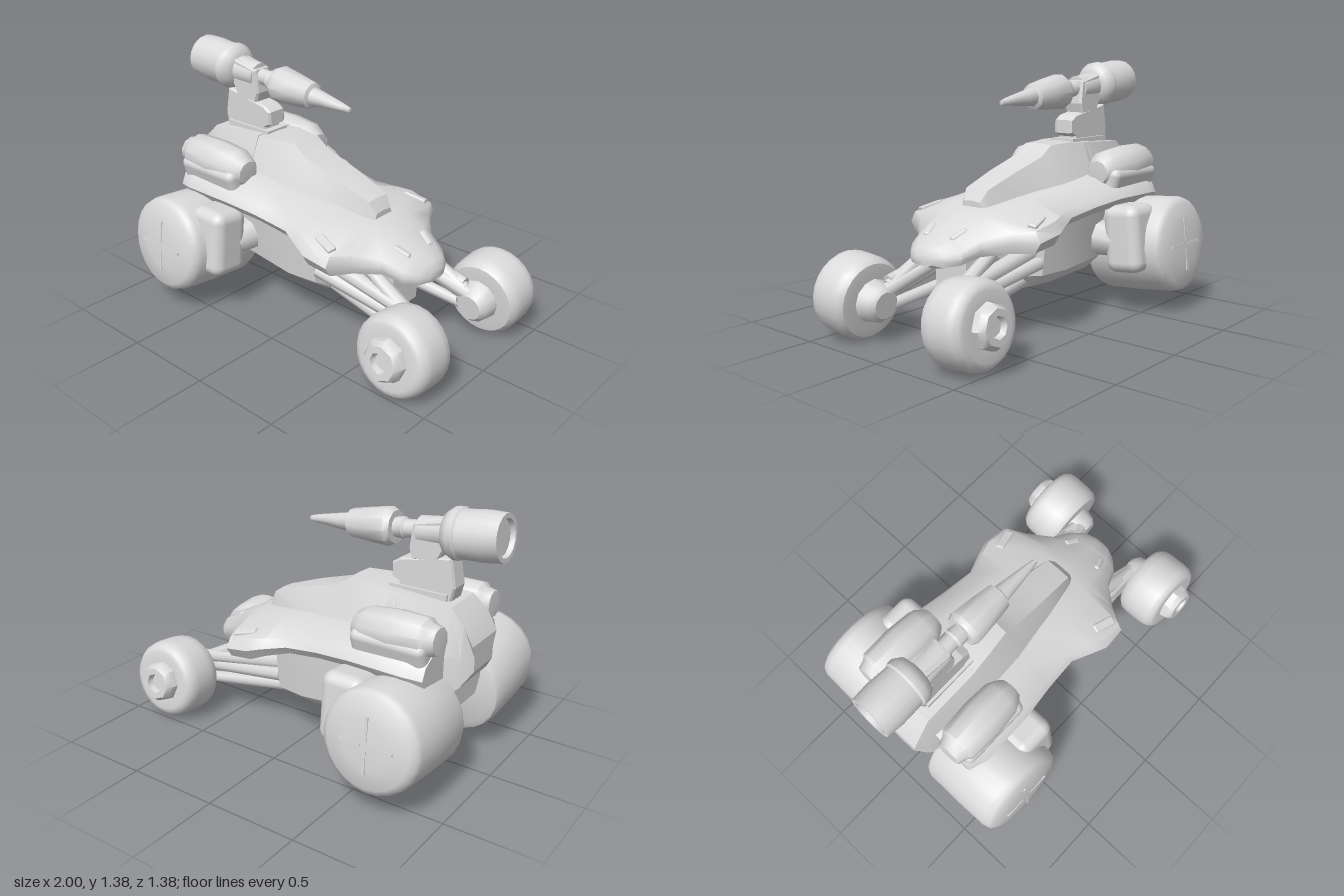
import * as THREE from 'three';
import { toCreasedNormals } from 'three/addons/utils/BufferGeometryUtils.js';
import { RoundedBoxGeometry } from 'three/addons/geometries/RoundedBoxGeometry.js';

const grey = new THREE.MeshStandardMaterial({ color: 0xdadada });
grey.name = 'plain grey';

function add(parent, name, geometry, x = 0, y = 0, z = 0) {
  const mesh = new THREE.Mesh(geometry, grey);
  mesh.name = name;
  mesh.position.set(x, y, z);
  parent.add(mesh);
  return mesh;
}

// Closed solid through cross-sections along x; each is [x, [z, y], ...],
// a half outline running from bottom centre to top centre.
function loft(sections, crease = 0.6) {
  const pos = [], index = [];
  const rings = sections.map(([x, ...half]) => {
    const mirrored = half.slice(1, -1).reverse().map(([z, y]) => [-z, y]);
    return [...half, ...mirrored].map(([z, y]) => [x, y, z]);
  });
  const n = rings[0].length;
  rings.forEach(r => r.forEach(p => pos.push(...p)));
  for (let i = 0; i < rings.length - 1; i++) {
    for (let j = 0; j < n; j++) {
      const a = i * n + j, b = i * n + (j + 1) % n;
      index.push(a, a + n, b, b, a + n, b + n);
    }
  }
  [0, rings.length - 1].forEach((r, end) => {
    const c = pos.length / 3, ring = rings[r];
    pos.push(ring[0][0], ring.reduce((s, p) => s + p[1], 0) / n, 0);
    for (let j = 0; j < n; j++) {
      const a = r * n + j, b = r * n + (j + 1) % n;
      if (end) index.push(c, b, a); else index.push(c, a, b);
    }
  });
  const g = new THREE.BufferGeometry();
  g.setAttribute('position', new THREE.Float32BufferAttribute(pos, 3));
  g.setIndex(index);
  return toCreasedNormals(g, crease);
}

// Turned part about y from [radius, height] pairs.
function turn(profile, sides = 24) {
  const pts = profile.map(([r, h]) => new THREE.Vector2(r, h));
  return toCreasedNormals(new THREE.LatheGeometry(pts, sides), 0.75);
}
const turnX = (profile, sides) => turn(profile, sides).rotateZ(-Math.PI / 2);

// Straight rod between two points.
function rod(parent, name, a, b, r1, r2, sides = 8) {
  const p = new THREE.Vector3(...a), q = new THREE.Vector3(...b);
  const d = q.clone().sub(p);
  const mesh = add(parent, name, new THREE.CylinderGeometry(r2, r1, d.length(), sides));
  mesh.position.copy(p).add(q).multiplyScalar(0.5);
  mesh.quaternion.setFromUnitVectors(new THREE.Vector3(0, 1, 0), d.normalize());
}

// Plate cut from an x-y outline, centred on z = 0.
function plate(parent, name, outline) {
  const shape = new THREE.Shape(outline.map(p => new THREE.Vector2(...p)));
  add(parent, name, new THREE.ExtrudeGeometry(shape, {
    depth: 0.09, bevelThickness: 0.015, bevelSize: 0.008, bevelSegments: 1 }), 0, 0, -0.045);
}

// Leaning wheel group whose local +y points outward.
function wheelGroup(parent, name, s, x, y, z) {
  const g = new THREE.Group();
  g.name = name;
  g.position.set(x, y, s * z);
  g.rotation.x = s * (Math.PI / 2 - 0.1);
  parent.add(g);
  return g;
}

export function createModel() {
  const model = new THREE.Group();
  model.name = 'armedBuggy';

  // Upper shell: x, half width, keel bottom, rim bottom, rim top, shoulder z, shoulder y
  const shell = [
    [-0.80, 0.39, 0.52, 0.57, 0.69, 0.24, 0.76],
    [-0.70, 0.425, 0.52, 0.59, 0.70, 0.26, 0.77],
    [-0.40, 0.42, 0.50, 0.60, 0.69, 0.26, 0.755],
    [-0.20, 0.395, 0.48, 0.58, 0.665, 0.24, 0.725],
    [0.00, 0.38, 0.46, 0.55, 0.635, 0.22, 0.705],
    [0.12, 0.43, 0.45, 0.52, 0.62, 0.20, 0.69],
    [0.20, 0.46, 0.44, 0.49, 0.61, 0.18, 0.675],
    [0.34, 0.45, 0.43, 0.47, 0.58, 0.16, 0.65],
    [0.40, 0.34, 0.42, 0.465, 0.565, 0.15, 0.63],
    [0.50, 0.22, 0.41, 0.45, 0.53, 0.14, 0.58],
    [0.60, 0.18, 0.40, 0.42, 0.485, 0.11, 0.525],
    [0.66, 0.12, 0.40, 0.41, 0.465, 0.08, 0.495],
    [0.69, 0.06, 0.41, 0.42, 0.45, 0.04, 0.46],
  ];
  add(model, 'upperShell', loft(shell.map(([x, w, yc, yb, yt, sz, sy]) => [x, [0, yc],
    [Math.min(0.11, w * 0.5), yc], [w * 0.5, yb - 0.01], [w * 0.92, yb], [w, (yb + yt) / 2], [w * 0.93, yt], [sz, sy], [0, sy + 0.005]]), 0.8));

  // Canopy: x, base half width, base y, roof half width, roof y
  const canopy = [
    [-0.50, 0.21, 0.70, 0.12, 0.92],
    [-0.36, 0.21, 0.70, 0.11, 0.935],
    [-0.20, 0.20, 0.67, 0.09, 0.93],
    [-0.12, 0.19, 0.65, 0.09, 0.875],
    [0.10, 0.15, 0.63, 0.085, 0.81],
    [0.30, 0.10, 0.60, 0.075, 0.74],
    [0.34, 0.08, 0.58, 0.055, 0.68],
  ];
  add(model, 'canopy', loft(canopy.map(([x, w, yb, t, yt]) =>
    [x, [0, yb], [w, yb], [w * 0.9, yb + 0.06], [t, yt], [0, yt + 0.005]]), 0.5));

  // Engine housing behind the cabin
  const engine = [
    [-0.92, 0.10, 0.60, 0.13, 0.74],
    [-0.87, 0.15, 0.52, 0.13, 0.83],
    [-0.79, 0.19, 0.45, 0.12, 0.91],
    [-0.45, 0.22, 0.45, 0.12, 0.93],
  ];
  add(model, 'engineHousing', loft(engine.map(([x, w, yb, t, yt]) =>
    [x, [0, yb], [w, yb], [w, (yb + yt) / 2], [t, yt], [0, yt]]), 0.5));

  // Lower hull: x, bottom half width, bottom y, top half width, top y
  const hull = [
    [-0.84, 0.10, 0.38, 0.16, 0.60],
    [-0.60, 0.13, 0.26, 0.20, 0.60],
    [-0.40, 0.19, 0.23, 0.30, 0.62],
    [-0.05, 0.21, 0.22, 0.34, 0.57],
    [0.12, 0.18, 0.215, 0.31, 0.52],
    [0.18, 0.14, 0.21, 0.22, 0.48],
    [0.50, 0.09, 0.19, 0.11, 0.43],
  ];
  add(model, 'lowerHull', loft(hull.map(([x, w, yb, t, yt]) =>
    [x, [0, yb], [w, yb], [t * 0.92, yb + 0.08], [t, yt], [0, yt]]), 0.5));

  for (const s of [1, -1]) {
    const side = s > 0 ? 'left' : 'right';

    // Shoulder pod
    const pod = add(model, side + 'Pod', turnX([[0, -0.24], [0.07, -0.235], [0.085, -0.19], [0.107, -0.17],
      [0.118, 0], [0.11, 0.15], [0.085, 0.2], [0.065, 0.225], [0, 0.23]], 10), -0.595, 0.792, s * 0.283);
    pod.rotation.x = s * 0.3;
    pod.rotation.z = -0.06;
    const fairing = add(model, side + 'PodFairing', new RoundedBoxGeometry(0.41, 0.22, 0.15, 2, 0.04), -0.59, 0.705, s * 0.305);
    fairing.rotation.x = s * 0.3;

    // Nose brow and lamp
    const brow = add(model, side + 'Brow', new RoundedBoxGeometry(0.1, 0.035, 0.04, 2, 0.015), 0.54, 0.55, s * 0.1);
    brow.rotation.set(0, s * 0.35, -0.45);
    const lamp = add(model, side + 'Lamp', new RoundedBoxGeometry(0.13, 0.025, 0.05, 2, 0.01), 0.27, 0.61, s * 0.37);
    lamp.rotation.set(s * 0.25, s * -0.3, -0.15);

    // Rear wheel with a crossed cap
    const rear = wheelGroup(model, side + 'RearWheel', s, -0.67, 0.36, 0.42);
    add(rear, 'wideTyre', turn([[0, -0.25], [0.22, -0.25], [0.255, -0.235], [0.265, -0.21], [0.268, 0],
      [0.265, 0.18], [0.255, 0.215], [0.225, 0.235], [0.12, 0.25], [0, 0.252]], 24));
    for (let i = 0; i < 4; i++) {
      const bar = add(rear, 'capRib', new THREE.BoxGeometry(0.12, 0.009, 0.014));
      const a = i * Math.PI / 2;
      bar.position.set(Math.cos(a) * 0.085, 0.25, -Math.sin(a) * 0.085);
      bar.rotation.set(0, a, 0);
    }

    // Rear drive casing, axle and strut
    const casing = add(model, side + 'DriveCasing', new RoundedBoxGeometry(0.24, 0.37, 0.22, 3, 0.06), -0.445, 0.43, s * 0.455);
    casing.rotation.x = s * -0.1;
    rod(model, side + 'RearAxle', [-0.62, 0.38, 0], [-0.62, 0.38, s * 0.4], 0.09, 0.09, 10);
    rod(model, side + 'RearStrut', [-0.38, 0.42, s * 0.25], [-0.42, 0.4, s * 0.45], 0.1, 0.08);

    // Front wheel with hubs
    const front = wheelGroup(model, side + 'FrontWheel', s, 0.78, 0.22, 0.39);
    add(front, 'tyre', turn([[0, -0.115], [0.15, -0.125], [0.19, -0.12], [0.21, -0.095], [0.216, -0.05],
      [0.216, 0.05], [0.21, 0.085], [0.19, 0.112], [0.165, 0.12], [0.1, 0.115], [0, 0.115]], 24));
    add(front, 'outerHub', turn([[0.115, 0.1], [0.11, 0.15], [0.09, 0.18], [0.055, 0.18], [0.045, 0.15], [0, 0.15]], 8));
    add(front, 'innerHub', turn([[0, -0.22], [0.07, -0.22], [0.095, -0.195], [0.115, -0.11]], 12));

    // Front suspension
    rod(model, side + 'UpperArm', [0.12, 0.42, s * 0.22], [0.72, 0.30, s * 0.22], 0.05, 0.035);
    rod(model, side + 'OuterArm', [0.12, 0.36, s * 0.26], [0.76, 0.24, s * 0.21], 0.04, 0.035);
    rod(model, side + 'LowerArm', [0.12, 0.26, s * 0.16], [0.74, 0.17, s * 0.23], 0.04, 0.03);
    rod(model, side + 'InnerArm', [0.3, 0.42, s * 0.13], [0.78, 0.25, s * 0.21], 0.035, 0.04);
    rod(model, side + 'ShockAbsorber', [0.4, 0.45, s * 0.19], [0.72, 0.27, s * 0.21], 0.035, 0.045);
  }

  // Turret pedestal and gun yoke
  plate(model, 'pedestal', [[-0.765, 0.98], [-0.745, 0.9], [-0.47, 0.9], [-0.47, 0.96], [-0.43, 0.98], [-0.43, 1.045],
    [-0.47, 1.07], [-0.74, 1.12]]);
  plate(model, 'gunYoke', [[-0.695, 1.16], [-0.665, 1.1], [-0.535, 1.09], [-0.52, 1.14], [-0.535, 1.26], [-0.69, 1.295]]);
  add(model, 'pedestalBase', new THREE.BoxGeometry(0.32, 0.04, 0.15), -0.58, 0.925, 0);

  // Gun, tipped slightly nose down
  const gun = new THREE.Group();
  gun.name = 'gun';
  gun.position.set(-0.6, 1.228, 0);
  gun.rotation.z = -0.08;
  model.add(gun);
  add(gun, 'breech', turnX([[0, -0.37], [0.09, -0.37], [0.095, -0.395], [0.118, -0.395], [0.125, -0.3],
    [0.12, -0.18], [0.13, -0.17], [0.13, -0.14], [0.105, -0.1], [0.075, -0.09], [0.07, 0.05], [0, 0.06]], 16));
  add(gun, 'barrel', turnX([[0.045, 0.04], [0.045, 0.13], [0.055, 0.14], [0.05, 0.21]], 10));
  add(gun, 'muzzle', turnX([[0, 0.19], [0.085, 0.19], [0.1, 0.22], [0.087, 0.34], [0.072, 0.45], [0.05, 0.46],
    [0.042, 0.52], [0.023, 0.66], [0.013, 0.71], [0, 0.715]], 10));

  return model;
}
